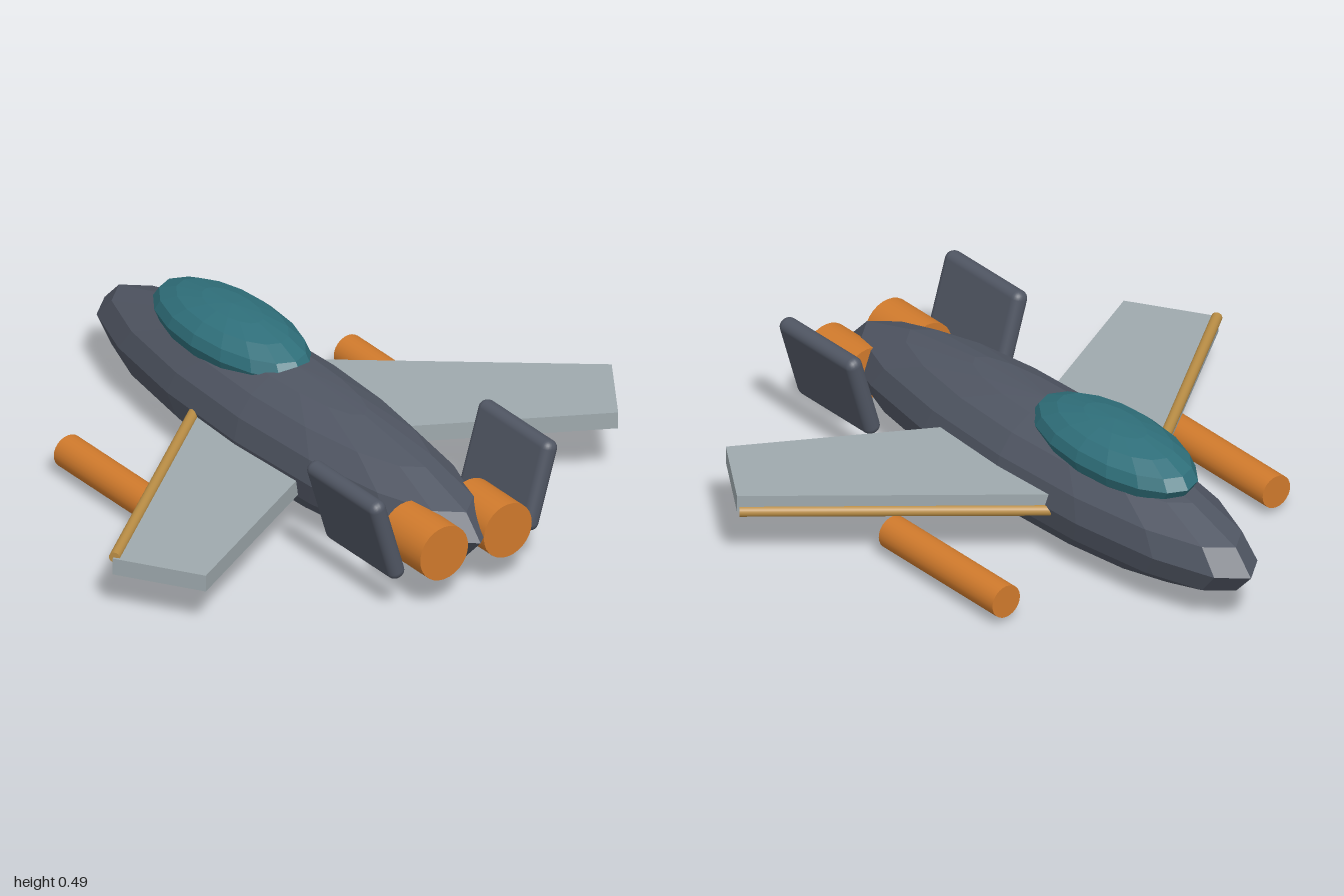
import * as THREE from 'three';
import { RoundedBoxGeometry } from 'three/addons/geometries/RoundedBoxGeometry.js';

const material = (name, color, flatShading = false) => {
  const m = new THREE.MeshStandardMaterial({ color, flatShading });
  m.name = name;
  return m;
};

export function createModel() {
  const group = new THREE.Group();
  const hull = material('slate hull', 0x505663, true);
  const finPaint = material('slate fin', 0x505663);
  const glass = material('teal glass', 0x2f6f7a, true);
  const wingPaint = material('pale grey wing', 0x9ea9ad);
  const orange = material('orange', 0xd07a2c);
  const gold = material('gold trim', 0xb98d45);

  const add = (name, geometry, mat, x = 0, y = 0, z = 0) => {
    const mesh = new THREE.Mesh(geometry, mat);
    mesh.name = name;
    mesh.position.set(x, y, z);
    group.add(mesh);
    return mesh;
  };

  // Faceted ellipsoid hull and canopy
  add('fuselage', new THREE.SphereGeometry(1, 16, 8).scale(0.23, 0.205, 1), hull, 0, 0.21, 0);
  add('canopy', new THREE.SphereGeometry(1, 16, 8).scale(0.165, 0.1, 0.365), glass, 0, 0.39, -0.32);

  for (const s of [1, -1]) {
    const side = s > 0 ? 'left' : 'right';

    // Swept wing slab, above the leading edge on one side and below it on the other
    const plan = new THREE.Shape([[0.2, -0.25], [0.98, 0.37], [0.81, 0.635], [0.2, 0.3]]
      .map(([x, z]) => new THREE.Vector2(s * x, z)));
    const wing = new THREE.ExtrudeGeometry(plan, { depth: 0.057, bevelEnabled: false });
    wing.rotateX(Math.PI / 2);
    add(side + 'Wing', wing, wingPaint, 0, s > 0 ? 0.254 : 0.197, 0);

    // Trim rod along the leading edge
    const root = new THREE.Vector3(s * 0.2, 0.197, -0.25);
    const tip = new THREE.Vector3(s * 0.972, 0.197, 0.368);
    const span = tip.clone().sub(root);
    const rod = add(side + 'LeadingEdge', new THREE.CylinderGeometry(0.018, 0.018, span.length(), 16), gold);
    rod.position.copy(root).add(tip).multiplyScalar(0.5);
    rod.quaternion.setFromUnitVectors(new THREE.Vector3(0, 1, 0), span.normalize());

    // Pod below the wing and engine at the tail
    add(side + 'Pod', new THREE.CylinderGeometry(0.056, 0.056, 0.57, 24).rotateX(Math.PI / 2),
      orange, s * 0.55, 0.08, -0.165);
    add(side + 'Engine', new THREE.CylinderGeometry(0.094, 0.094, 0.205, 28).rotateX(Math.PI / 2),
      orange, s * 0.125, 0.205, 0.873);

    // Outward-leaning tail fin
    const fin = add(side + 'Fin', new RoundedBoxGeometry(0.06, 0.31, 0.375, 3, 0.028),
      finPaint, s * 0.3, 0.28, 0.742);
    fin.rotation.z = -s * 0.29;
  }
  return group;
}
